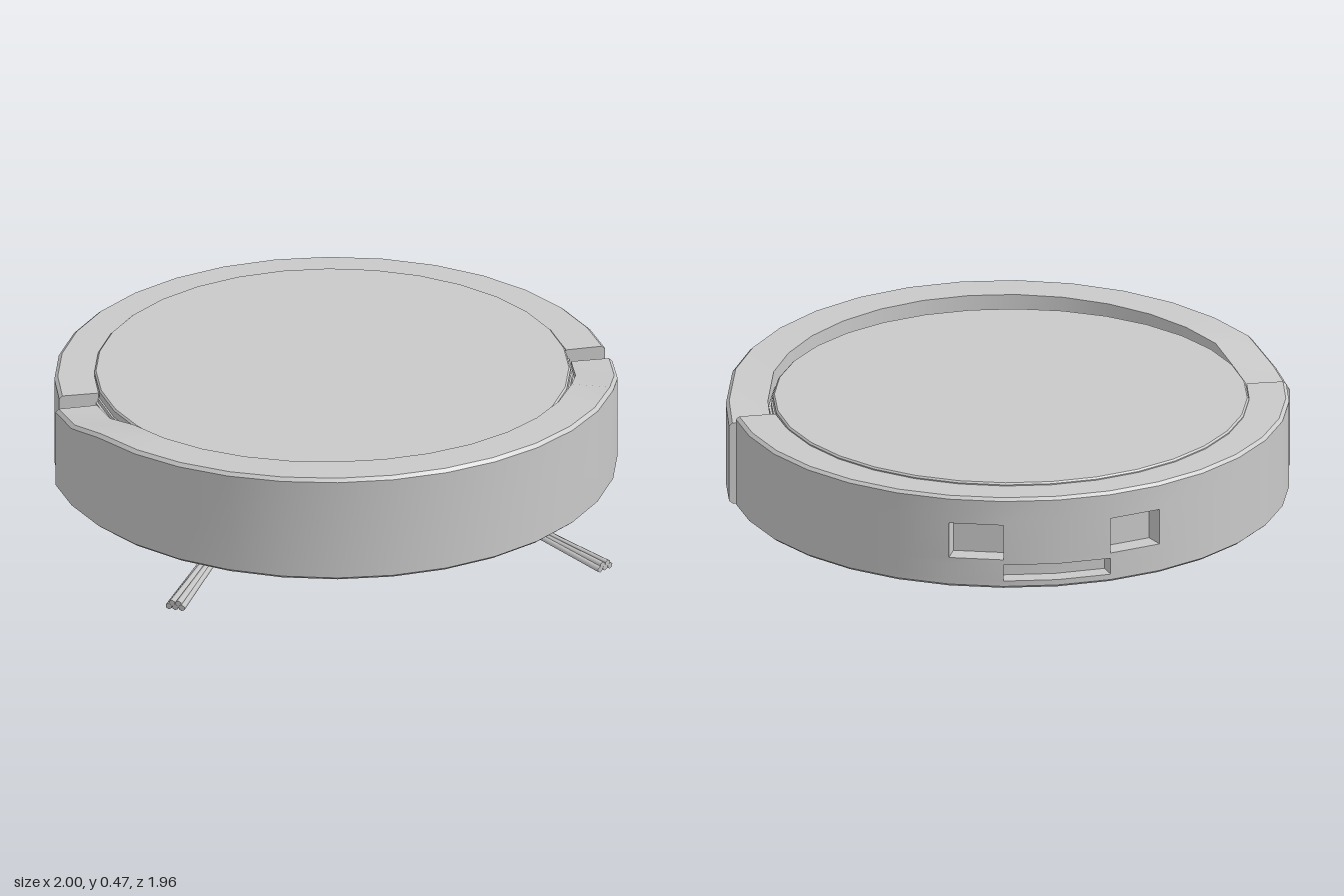
import * as THREE from 'three';
import { toCreasedNormals } from 'three/addons/utils/BufferGeometryUtils.js';

const STEP = Math.PI / 16; // 32-sided rings

const polar = (cz, a, [r, y]) => [r * Math.sin(a), y, cz + r * Math.cos(a)];

function geometryFrom(positions) {
  const g = new THREE.BufferGeometry();
  g.setAttribute('position', new THREE.Float32BufferAttribute(positions, 3));
  return toCreasedNormals(g, 0.45);
}

// Sweeps a closed (radius, height) section through a list of angles and caps both ends.
// skip(segment, edge) leaves a wall panel open.
function sweepRing(cz, angles, section, skip = () => false) {
  const out = [];
  const quad = (a, b, c, d) => out.push(...a, ...b, ...c, ...a, ...c, ...d);
  const rows = angles.map((a) => section(a).map((p) => polar(cz, a, p)));
  const n = rows[0].length;
  for (let s = 0; s < rows.length - 1; s++) {
    for (let i = 0; i < n; i++) {
      if (skip(s, i)) continue;
      const j = (i + 1) % n;
      quad(rows[s][i], rows[s + 1][i], rows[s + 1][j], rows[s][j]);
    }
  }
  const last = rows[rows.length - 1];
  for (let i = 1; i < n - 1; i++) {
    out.push(...rows[0][0], ...rows[0][i], ...rows[0][i + 1]);
    out.push(...last[0], ...last[i + 1], ...last[i]);
  }
  return geometryFrom(out);
}

// Inner faces of a pocket sunk into the outer wall
function pocket(cz, angles, r, depth, y0, y1) {
  const out = [];
  const quad = (a, b, c, d) => out.push(...a, ...b, ...c, ...a, ...c, ...d);
  const ri = r - depth;
  const P = (a, rr, y) => polar(cz, a, [rr, y]);
  for (let s = 0; s < angles.length - 1; s++) {
    const a = angles[s], b = angles[s + 1];
    quad(P(a, ri, y0), P(b, ri, y0), P(b, ri, y1), P(a, ri, y1));
    quad(P(a, r, y0), P(b, r, y0), P(b, ri, y0), P(a, ri, y0));
    quad(P(a, ri, y1), P(b, ri, y1), P(b, r, y1), P(a, r, y1));
  }
  const a = angles[0], b = angles[angles.length - 1];
  quad(P(a, r, y0), P(a, ri, y0), P(a, ri, y1), P(a, r, y1));
  quad(P(b, ri, y0), P(b, r, y0), P(b, r, y1), P(b, ri, y1));
  return geometryFrom(out);
}

// Lower slice of a disc lying across x: its lowest point is at y = 0, cut flat at the given height
function discSlice(r, height, width) {
  const half = Math.acos(1 - height / r);
  const shape = new THREE.Shape();
  shape.absarc(0, r, r, -Math.PI / 2 - half, -Math.PI / 2 + half, false);
  const g = new THREE.ExtrudeGeometry(shape, { depth: width, bevelEnabled: false, curveSegments: 16 });
  return toCreasedNormals(g.translate(0, 0, -width / 2).rotateY(Math.PI / 2), 0.45);
}

export function createModel() {
  const model = new THREE.Group();
  model.name = 'robotVacuum';
  const grey = new THREE.MeshStandardMaterial({ color: 0xc9c9c9 });
  grey.name = 'grey plastic';

  const add = (name, geometry, x = 0, y = 0, z = 0, parent = model) => {
    const mesh = new THREE.Mesh(geometry, grey);
    mesh.name = name;
    mesh.position.set(x, y, z);
    parent.add(mesh);
    return mesh;
  };
  const turned = (points, sides = 32) =>
    toCreasedNormals(new THREE.LatheGeometry(points.map(([r, y]) => new THREE.Vector2(r, y)), sides), 0.45);

  // Core, underside plate and round lid
  add('core', turned([[0, 0.06], [0.67, 0.06], [0.73, 0.07], [0.88, 0.073], [0.88, 0.085],
    [0.85, 0.085], [0.85, 0.385], [0.842, 0.385], [0.842, 0.4], [0, 0.4]]), 0, 0, -0.02);
  add('lid', turned([[0.836, 0.38], [0.836, 0.424], [0.83, 0.43], [0, 0.43]]), 0, 0, -0.022);

  // Front bumper, higher at the nose and stepping down to its ends
  const bumperZ = -0.017;
  const heights = [[0, 0.385], [0.175, 0.4], [0.36, 0.445], [1, 0.475]];
  const topAt = (z) => {
    for (let i = 1; i < heights.length; i++) {
      const [z0, y0] = heights[i - 1], [z1, y1] = heights[i];
      if (z <= z1) return y0 + (y1 - y0) * Math.max(0, (z - z0) / (z1 - z0));
    }
    return 0.475;
  };
  const bumperAngles = [-1.551];
  for (let i = -7; i <= 7; i++) bumperAngles.push(i * STEP);
  bumperAngles.push(1.551);
  add('bumper', sweepRing(bumperZ, bumperAngles, (a) => {
    const t = topAt(bumperZ + Math.cos(a));
    return [[0.852, 0.08], [0.985, 0.08], [1, 0.092], [1, t - 0.012], [0.988, t], [0.852, t]];
  }));

  // Rear shell with two sockets and a low slot between them
  const R = 0.981;
  const rearAngles = [Math.PI / 2 + 0.028];
  for (let i = -7; i <= 7; i++) rearAngles.push(Math.PI + i * STEP);
  rearAngles.push(Math.PI * 1.5 - 0.028);
  const rearSection = [[0.84, 0.08], [R - 0.012, 0.08], [R, 0.09], [R, 0.11], [R, 0.17], [R, 0.19],
    [R, 0.32], [R, 0.41], [R - 0.012, 0.42], [0.84, 0.42]];
  const isOpening = (s, i) => (i === 3 && (s === 7 || s === 8)) || (i === 5 && (s === 6 || s === 9));
  add('rearShell', sweepRing(0, rearAngles, () => rearSection, isOpening));
  add('rearSlot', pocket(0, rearAngles.slice(7, 10), R, 0.06, 0.11, 0.17));
  add('leftSocket', pocket(0, rearAngles.slice(6, 8), R, 0.07, 0.19, 0.32));
  add('rightSocket', pocket(0, rearAngles.slice(9, 11), R, 0.07, 0.19, 0.32));

  // Main roller with end brackets
  add('roller', discSlice(0.07, 0.04, 0.82), 0, 0.028, 0);
  for (const s of [-1, 1]) add('rollerBracket', discSlice(0.13, 0.05, 0.04), s * 0.425, 0.015, 0);

  // Front caster: shallow dome with the wheel showing below it
  add('casterHousing', turned([[0, 0.032], [0.07, 0.034], [0.095, 0.045], [0.11, 0.065], [0.11, 0.08]], 20), 0, 0, 0.65);
  add('casterWheel', discSlice(0.11, 0.06, 0.12), 0, 0.007, 0.65);

  for (const s of [-1, 1]) {
    const side = s > 0 ? 'left' : 'right';
    // Drive wheel
    add(side + 'Wheel', discSlice(0.35, 0.1, 0.09), s * 0.675, 0, 0.035);

    // Side brush: hexagonal hub and a fanned tuft of bristles
    const brush = new THREE.Group();
    brush.name = side + 'Brush';
    brush.position.set(s * 0.52, 0, 0.53);
    brush.rotation.y = s * 0.56;
    model.add(brush);
    add('brushHub', turned([[0, 0.038], [0.035, 0.038], [0.065, 0.052], [0.065, 0.07]], 6), 0, 0, 0, brush);
    for (let i = 0; i < 5; i++) {
      const k = (i - 2) / 2;
      const lift = i % 2 ? 0.014 : 0;
      const from = new THREE.Vector3(k * 0.017, 0.056, 0.03);
      const to = new THREE.Vector3(k * 0.024, 0.022 + lift, 0.475);
      const bristle = add('bristle', new THREE.CylinderGeometry(0.012, 0.01, from.distanceTo(to), 6), 0, 0, 0, brush);
      bristle.position.lerpVectors(from, to, 0.5);
      bristle.quaternion.setFromUnitVectors(new THREE.Vector3(0, 1, 0), to.clone().sub(from).normalize());
    }
  }
  return model;
}
